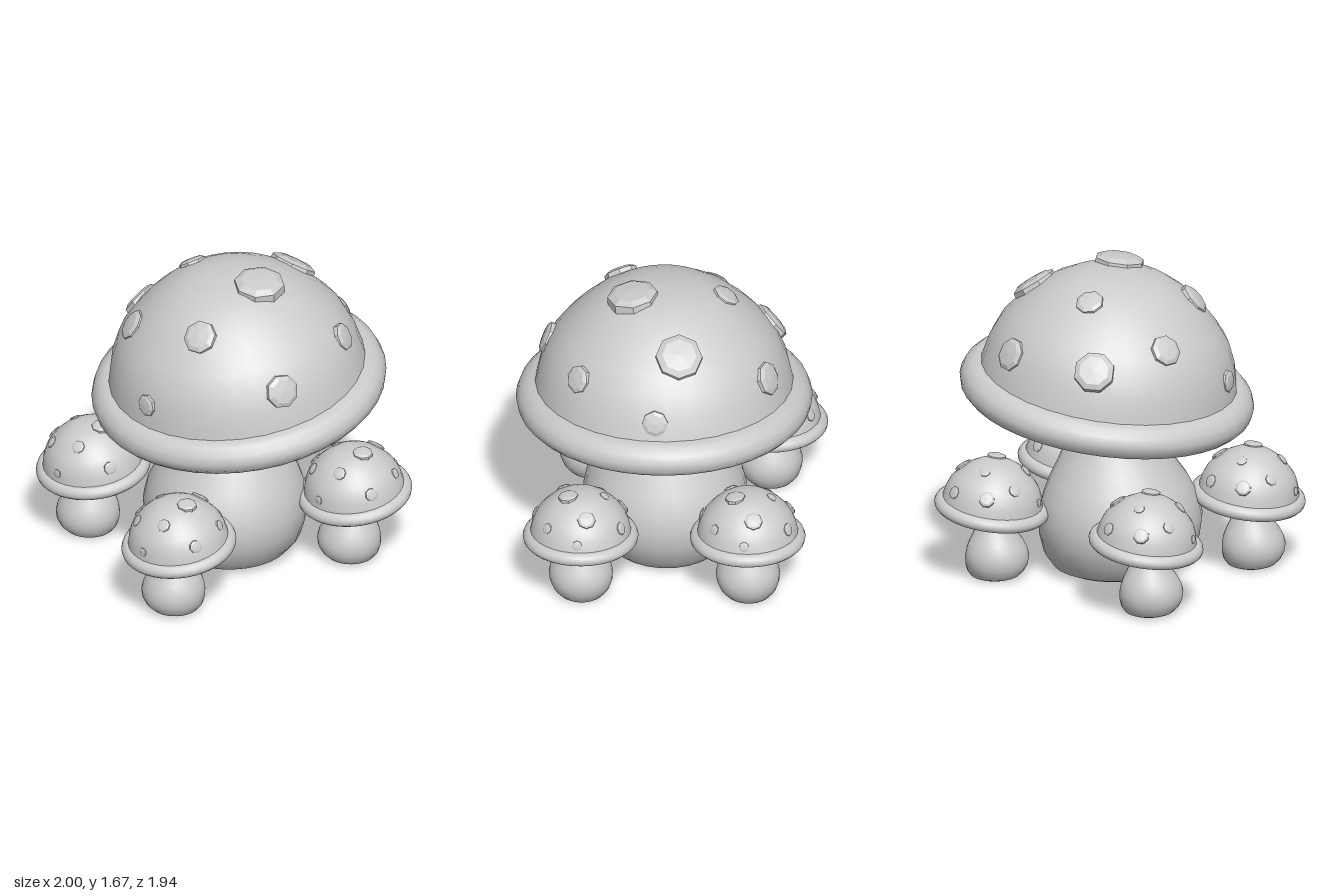
import * as THREE from 'three';

const material = new THREE.MeshStandardMaterial({ color: 0xcccccc });
const flatMaterial = new THREE.MeshStandardMaterial({ color: 0xcccccc, flatShading: true });

function lathe(name, points, segments) {
  const geometry = new THREE.LatheGeometry(points.map(([r, y]) => new THREE.Vector2(r, y)), segments);
  const mesh = new THREE.Mesh(geometry, material);
  mesh.name = name;
  return mesh;
}

// Bulbous stem whose axis bends toward the cap
function createStem() {
  const stem = lathe('stem', [
    [0, 0], [0.26, 0.003], [0.325, 0.03], [0.385, 0.1], [0.423, 0.2], [0.43, 0.3], [0.41, 0.4],
    [0.365, 0.5], [0.305, 0.6], [0.25, 0.7], [0.21, 0.8], [0.192, 0.9], [0.185, 1.0],
  ], 28);
  const axis = new THREE.CatmullRomCurve3([
    new THREE.Vector3(0.035, 0, -0.025), new THREE.Vector3(0.015, 0.25, 0.005),
    new THREE.Vector3(0.025, 0.5, 0), new THREE.Vector3(0.055, 0.75, -0.032),
    new THREE.Vector3(0.095, 1, -0.07),
  ]);
  const p = stem.geometry.attributes.position;
  for (let i = 0; i < p.count; i++) {
    const c = axis.getPoint(p.getY(i));
    p.setXYZ(i, p.getX(i) + c.x, p.getY(i), p.getZ(i) + c.z);
  }
  return stem;
}

// Low faceted bump, its flat side on y = 0
function createSpot(radius) {
  const profile = [[1, -0.25], [0.98, 0.1], [0.72, 0.24], [0, 0.3]];
  const spot = lathe('capSpot', profile.map(([r, y]) => [r * radius, y * radius]), 8);
  spot.material = flatMaterial;
  return spot;
}

function createCap() {
  const cap = new THREE.Group();
  cap.name = 'cap';
  cap.position.set(0.08, 0.965, -0.05);
  cap.quaternion.setFromUnitVectors(
    new THREE.Vector3(0, 1, 0), new THREE.Vector3(-0.1, 1, 0.1).normalize());
  cap.updateMatrixWorld();

  const dome = lathe('capDome', [
    [0.685, 0.06], [0.672, 0.12], [0.65, 0.22], [0.605, 0.33], [0.545, 0.41], [0.475, 0.485],
    [0.39, 0.56], [0.29, 0.622], [0.2, 0.655], [0.1, 0.67], [0, 0.675],
  ], 32);
  const rim = lathe('capRim', [
    [0.66, -0.045], [0.7, -0.075], [0.74, -0.07], [0.768, -0.04], [0.778, 0.005],
    [0.762, 0.05], [0.73, 0.082], [0.7, 0.093], [0.66, 0.1],
  ], 40);

  // Underside with radial ripples for the gills
  const gills = lathe('gills', [[0.12, -0.015], [0.3, -0.025], [0.5, -0.035], [0.67, -0.05]], 72);
  const p = gills.geometry.attributes.position;
  for (let i = 0; i < p.count; i++) {
    const x = p.getX(i), z = p.getZ(i);
    p.setY(i, p.getY(i) + 0.02 * Math.hypot(x, z) * Math.cos(24 * Math.atan2(z, x)));
  }
  gills.geometry.computeVertexNormals();
  cap.add(dome, rim, gills);

  // Spots dropped onto the dome: x, y, z, radius
  const spots = [
    [0.21, 1.64, 0.06, 0.135], [0.32, 1.53, -0.39, 0.125], [-0.05, 1.47, 0.39, 0.09],
    [-0.2, 1.56, -0.23, 0.075], [-0.1, 1.28, -0.63, 0.09], [-0.5, 1.28, -0.3, 0.11],
    [-0.47, 1.35, 0.11, 0.085], [0.4, 1.24, 0.48, 0.09], [0.65, 1.34, 0.03, 0.075],
    [0.57, 1.25, -0.45, 0.07], [-0.32, 1.09, 0.5, 0.06],
  ];
  const core = new THREE.Vector3(0, 0.12, 0);
  const up = new THREE.Vector3(0, 1, 0);
  for (const [x, y, z, radius] of spots) {
    const outward = cap.worldToLocal(new THREE.Vector3(x, y, z)).sub(core).normalize();
    const start = core.clone().addScaledVector(outward, 2);
    const hit = new THREE.Raycaster(start, outward.clone().negate()).intersectObject(dome)[0];
    if (!hit) continue;
    const spot = createSpot(radius);
    spot.position.copy(hit.point);
    spot.quaternion.setFromUnitVectors(up, hit.face.normal);
    cap.add(spot);
  }
  return cap;
}

export function createModel() {
  const model = new THREE.Group();
  model.name = 'mushroomCluster';

  const large = new THREE.Group();
  large.name = 'largeMushroom';
  large.add(createStem(), createCap());
  model.add(large);

  // Four small copies around the large one
  const places = {
    smallMushroomFront: [-0.145, 0.685],
    smallMushroomBack: [0.07, -0.655],
    smallMushroomRight: [-0.73, -0.055],
    smallMushroomLeft: [0.667, -0.015],
  };
  for (const [name, [x, z]] of Object.entries(places)) {
    const small = large.clone();
    small.name = name;
    small.scale.setScalar(0.39);
    small.position.set(x, 0, z);
    model.add(small);
  }
  return model;
}
